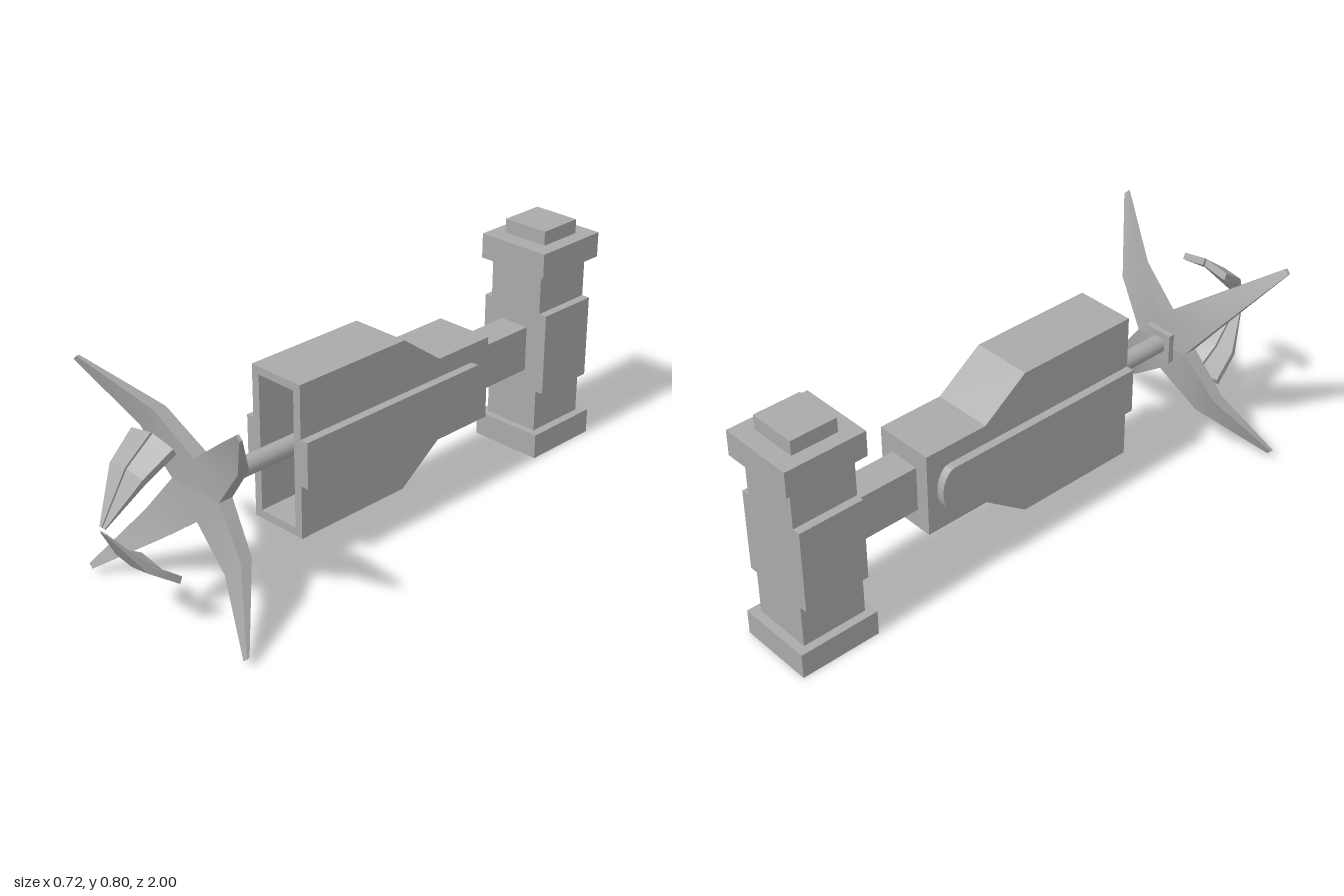
import * as THREE from 'three';
import { toCreasedNormals } from 'three/addons/utils/BufferGeometryUtils.js';

const CX = -0.003, CY = 0.379; // axis of the barrel

// Closed solid through four-cornered cross-sections
function loft(rings, crease = 0.6) {
  const pos = [];
  const quad = (a, b, c, d) => pos.push(...a, ...b, ...c, ...a, ...c, ...d);
  for (let i = 0; i < rings.length - 1; i++) {
    const p = rings[i], q = rings[i + 1];
    for (let k = 0; k < 4; k++) {
      const n = (k + 1) % 4;
      quad(p[k], p[n], q[n], q[k]);
    }
  }
  const s = rings[0], e = rings[rings.length - 1];
  quad(s[0], s[3], s[2], s[1]);
  quad(e[0], e[1], e[2], e[3]);
  const g = new THREE.BufferGeometry();
  g.setAttribute('position', new THREE.Float32BufferAttribute(pos, 3));
  return toCreasedNormals(g, crease);
}

// Side profile in (z, y), extruded between two x values
function sideExtrude(shape, x0, x1) {
  const g = new THREE.ExtrudeGeometry(shape, { depth: x1 - x0, bevelEnabled: false, curveSegments: 6 });
  g.rotateY(-Math.PI / 2);
  g.translate(x1, 0, 0);
  return g;
}

const polygon = (pts) => new THREE.Shape(pts.map(([a, b]) => new THREE.Vector2(a, b)));
const rect = (x0, y0, x1, y1) => polygon([[x0, y0], [x1, y0], [x1, y1], [x0, y1]]);

export function createModel() {
  const model = new THREE.Group();
  const grey = new THREE.MeshStandardMaterial({ color: 0xaaaaaa });
  grey.name = 'grey';

  const add = (name, geometry, parent = model) => {
    const mesh = new THREE.Mesh(geometry, grey);
    mesh.name = name;
    parent.add(mesh);
    return mesh;
  };
  const box = (name, x0, x1, y0, y1, z0, z1) =>
    add(name, new THREE.BoxGeometry(x1 - x0, y1 - y0, z1 - z0)
      .translate((x0 + x1) / 2, (y0 + y1) / 2, (z0 + z1) / 2));

  // Upright rear grip with caps
  box('gripBaseCap', -0.135, 0.13, 0, 0.087, -1, -0.72);
  box('gripColumn', -0.107, 0.101, 0.087, 0.662, -0.97, -0.745);
  box('gripSidePanels', -0.135, 0.13, 0.235, 0.521, -0.97, -0.745);
  box('gripTopCap', -0.135, 0.13, 0.662, 0.748, -1, -0.72);
  box('gripKnob', -0.087, 0.08, 0.748, 0.797, -0.94, -0.78);
  box('connector', -0.058, 0.05, 0.3, 0.457, -0.745, -0.49);

  // Hollow front housing
  const wall = rect(-0.107, 0.117, 0.101, 0.637);
  wall.holes.push(rect(-0.078, 0.145, 0.072, 0.61));
  add('housing', new THREE.ExtrudeGeometry(wall, { depth: 0.44, bevelEnabled: false }).translate(0, 0, -0.1));

  // Tapered rear of the housing
  add('housingTail', sideExtrude(polygon([
    [-0.1, 0.117], [-0.1, 0.637], [-0.26, 0.521], [-0.49, 0.521], [-0.49, 0.233], [-0.26, 0.233],
  ]), -0.107, 0.101));

  // Side rails with rounded rear ends
  const rail = new THREE.Shape();
  rail.moveTo(0.34, 0.3);
  rail.lineTo(0.34, 0.457);
  rail.lineTo(-0.405, 0.457);
  rail.absellipse(-0.405, 0.3785, 0.048, 0.0785, Math.PI / 2, Math.PI * 1.5, false);
  add('leftRail', sideExtrude(rail, 0.1, 0.13));
  add('rightRail', sideExtrude(rail, -0.135, -0.106));

  // Rod and square collar
  add('rod', new THREE.CylinderGeometry(0.031, 0.031, 0.72, 24).rotateX(Math.PI / 2).translate(CX, CY, 0.26));
  box('collar', CX - 0.052, CX + 0.052, CY - 0.052, CY + 0.052, 0.592, 0.62);

  // Four swept blades: radius, half width, back z, front z
  const bladeSections = [
    [0, 0.002, 0.61, 0.66],
    [0.074, 0.074, 0.614, 0.665],
    [0.253, 0.051, 0.643, 0.686],
    [0.499, 0.01, 0.789, 0.8],
  ];
  const bladeGeometry = loft(bladeSections.map(([r, t, b, f]) => [[r, t, f], [r, -t, f], [r, -t, b], [r, t, b]]));
  const blades = new THREE.Group();
  blades.name = 'crossBlades';
  blades.position.set(0, 0.376, 0);
  for (let i = 0; i < 4; i++) {
    add('blade', bladeGeometry, blades).rotation.z = Math.PI / 4 + i * Math.PI / 2;
  }
  model.add(blades);

  // Paired front claws: z, height, width, side drop, thickness offsets in z and y
  const clawSections = [
    [1, 0.009, 0.012, 0, 0.003, 0.003],
    [0.905, 0.161, 0.073, 0.01, 0.014, 0.014],
    [0.808, 0.236, 0.092, 0.016, 0.009, 0.022],
  ];
  const claw = (side) => loft(clawSections.map(([z, y, w, drop, dz, dy]) => {
    const gap = 0.002 + w * 0.02;
    const ends = [[side * gap, y], [side * w, y - drop]];
    if (side < 0) ends.reverse();
    const [a, b] = ends;
    return [[...a, z], [...b, z], [b[0], b[1] - dy, z - dz], [a[0], a[1] - dy, z - dz]];
  }), 0.3);
  for (const [name, turn] of [['upperClaw', 0], ['lowerClaw', Math.PI]]) {
    const pair = new THREE.Group();
    pair.name = name;
    pair.position.set(CX, 0.381, 0);
    pair.rotation.z = turn;
    add('clawHalf', claw(1), pair);
    add('clawHalf', claw(-1), pair);
    model.add(pair);
  }

  return model;
}
